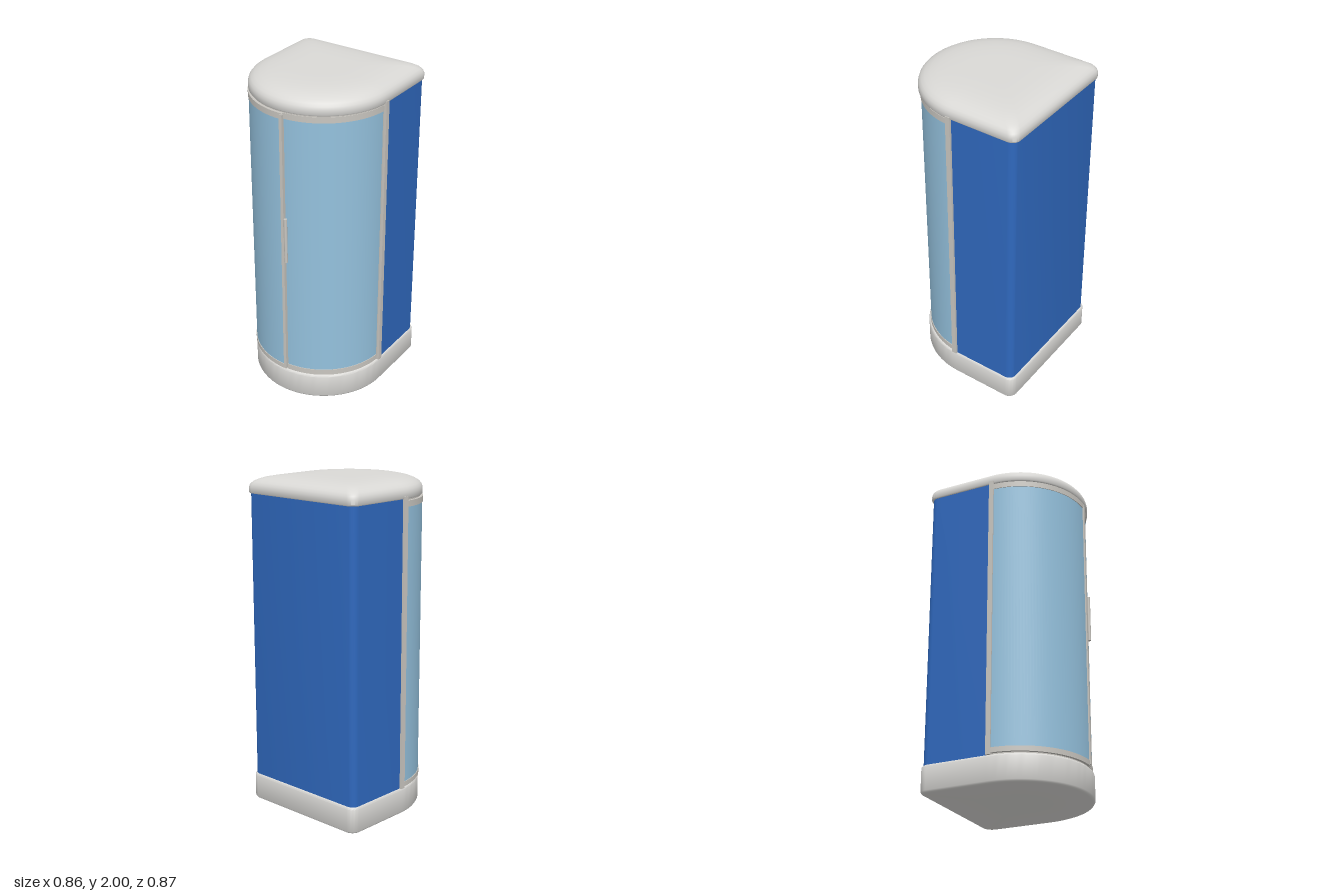
import * as THREE from 'three';
import { toCreasedNormals } from 'three/addons/utils/BufferGeometryUtils.js';

const R = 0.425, ZC = -0.01, BACK = -0.435;

// D-shaped plan: half circle in front, rounded corners at the back
function outline(inset, corner = 0.05) {
  const r = R - inset, back = BACK + inset, pts = [];
  for (let i = 0; i <= 48; i++) {
    const a = -Math.PI / 2 + (Math.PI * i) / 48;
    pts.push([r * Math.sin(a), ZC + r * Math.cos(a)]);
  }
  for (const side of [1, -1]) {
    for (let i = 0; i <= 8; i++) {
      const a = (Math.PI / 2) * (side > 0 ? i / 8 : 1 - i / 8);
      pts.push([side * (r - corner + corner * Math.cos(a)), back + corner - corner * Math.sin(a)]);
    }
  }
  return pts;
}

// Closed solid lofted through [y, inset] rings of the plan
function loft(rings) {
  const pos = [], idx = [];
  const n = outline(0).length;
  for (const [y, inset] of rings) for (const [x, z] of outline(inset)) pos.push(x, y, z);
  const low = pos.length / 3, high = low + 1, last = (rings.length - 1) * n;
  pos.push(0, rings[0][0], ZC, 0, rings[rings.length - 1][0], ZC);
  for (let j = 0; j < n; j++) {
    const k = (j + 1) % n;
    for (let i = 0; i < rings.length - 1; i++) {
      const a = i * n + j, b = i * n + k;
      idx.push(a, b, b + n, a, b + n, a + n);
    }
    idx.push(k, j, low, last + j, last + k, high);
  }
  const g = new THREE.BufferGeometry();
  g.setAttribute('position', new THREE.Float32BufferAttribute(pos, 3));
  g.setIndex(idx);
  return toCreasedNormals(g, 0.75);
}

// Curved bar with a rectangular section, swept about the cabin's axis (angle 0 = front)
function arcBar(r0, r1, y0, y1, a0, a1) {
  const profile = [[r0, y0], [r1, y0], [r1, y1], [r0, y1], [r0, y0]].map(p => new THREE.Vector2(...p));
  const steps = Math.max(2, Math.ceil((a1 - a0) * 24));
  const g = new THREE.LatheGeometry(profile, steps, a0, a1 - a0);
  return toCreasedNormals(g.translate(0, 0, ZC), 0.6);
}

export function createModel() {
  const model = new THREE.Group();
  model.name = 'showerCabin';
  const mat = (name, color, side = THREE.FrontSide) => {
    const m = new THREE.MeshStandardMaterial({ color, side });
    m.name = name;
    return m;
  };
  const white = mat('white acrylic', 0xdad9d6);
  const metal = mat('pale metal', 0xc9c6c0, THREE.DoubleSide);
  const glass = mat('blue glass', 0x94c1dd, THREE.DoubleSide);
  const blue = mat('blue panel', 0x2f68bd);
  const add = (name, geometry, material, parent = model) => {
    const m = new THREE.Mesh(geometry, material);
    m.name = name;
    parent.add(m);
    return m;
  };

  // Tray and domed roof
  add('tray', loft([[0, 0.016], [0.004, 0.006], [0.014, 0], [0.15, 0], [0.157, 0.002], [0.162, 0.008]]), white);
  add('roof', loft([
    [1.89, 0.004], [1.896, 0], [1.925, 0], [1.942, 0.005], [1.957, 0.017], [1.97, 0.037],
    [1.982, 0.068], [1.991, 0.11], [1.997, 0.17], [2, 0.25], [2, 0.34],
  ]), white);

  // U-shaped back and side walls
  const wall = new THREE.Shape();
  const uPath = (w, back, c, start) => {
    const p = [[w, start]];
    for (const side of [1, -1]) {
      for (let i = 0; i <= 8; i++) {
        const a = (Math.PI / 2) * (side > 0 ? i / 8 : 1 - i / 8);
        p.push([side * (w - c + c * Math.cos(a)), back - c + c * Math.sin(a)]);
      }
    }
    p.push([-w, start]);
    return p.map(q => new THREE.Vector2(...q));
  };
  wall.setFromPoints([...uPath(0.416, 0.424, 0.045, 0.01), ...uPath(0.4, 0.408, 0.03, 0.01).reverse()]);
  const wallGeo = new THREE.ExtrudeGeometry(wall, { depth: 1.735, bevelEnabled: false });
  add('walls', toCreasedNormals(wallGeo.rotateX(-Math.PI / 2).translate(0, 0.16, 0), 0.6), blue);

  // Posts where the walls meet the glass
  for (const side of [-1, 1]) {
    const post = add(side > 0 ? 'leftPost' : 'rightPost', new THREE.BoxGeometry(0.026, 1.742, 0.03), metal);
    post.position.set(side * 0.417, 1.033, -0.002);
  }

  // Fixed pane on one half, door standing slightly proud on the other
  const H = Math.PI / 2;
  const panes = [
    { name: 'fixedPane', r: 0.411, a0: 0, a1: H },
    { name: 'door', r: 0.424, a0: -H, a1: 0.047 },
  ];
  for (const { name, r, a0, a1 } of panes) {
    const g = new THREE.Group();
    g.name = name;
    model.add(g);
    add(name + 'Glass', arcBar(r - 0.008, r, 0.18, 1.86, a0, a1), glass, g);
    add(name + 'BottomRail', arcBar(r - 0.014, r + 0.004, 0.17, 0.2, a0, a1), metal, g);
    add(name + 'TopRail', arcBar(r - 0.014, r + 0.004, 1.845, 1.88, a0, a1), metal, g);
  }
  const door = model.getObjectByName('door');
  add('doorStile', arcBar(0.408, 0.433, 0.178, 1.872, 0.008, 0.05), metal, door);
  for (const a of [0.05, 0.008]) { // close the stile's two ends
    const cap = add('stileEnd', new THREE.PlaneGeometry(0.025, 1.694), metal, door);
    cap.position.set(0.4205 * Math.sin(a), 1.025, ZC + 0.4205 * Math.cos(a));
    cap.rotation.y = a + H;
  }
  add('fixedPaneEdge', arcBar(0.4, 0.416, 0.17, 1.88, H - 0.075, H - 0.055), metal, model.getObjectByName('fixedPane'));

  // Fixed tracks behind the rails
  add('bottomTrack', arcBar(0.395, 0.412, 0.16, 0.172, -H, H), metal);
  add('topTrack', arcBar(0.395, 0.412, 1.878, 1.892, -H, H), metal);

  // Door handle with two short brackets
  const handle = add('handle', new THREE.CylinderGeometry(0.01, 0.01, 0.285, 16), metal, door);
  handle.position.set(0.036, 1.093, 0.423);
  for (const y of [0.98, 1.205]) {
    const b = add('handleBracket', new THREE.BoxGeometry(0.022, 0.012, 0.01), metal, door);
    b.position.set(0.026, y, 0.417);
  }
  return model;
}
